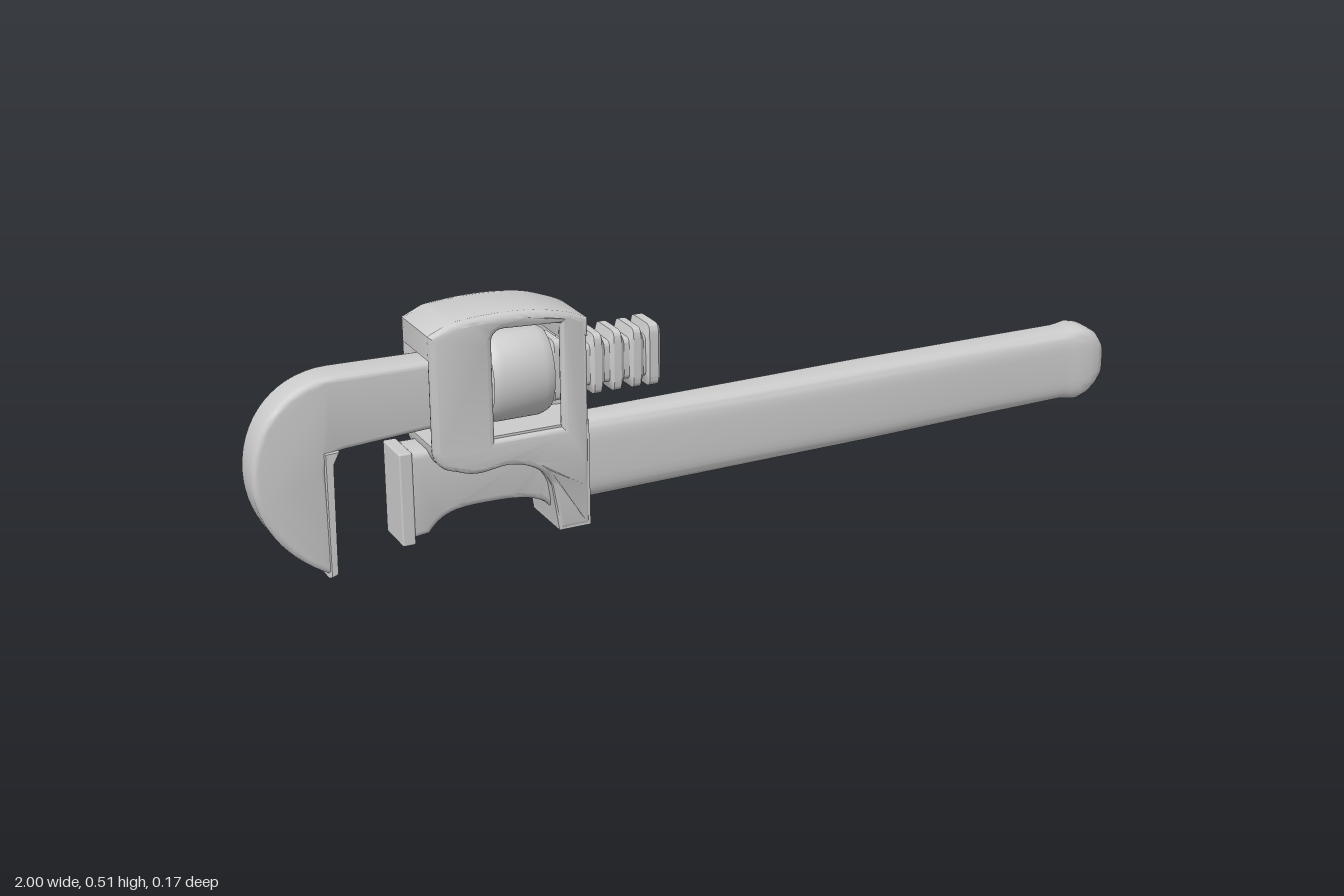
import * as THREE from 'three';
import { toCreasedNormals } from 'three/addons/utils/BufferGeometryUtils.js';
import { RoundedBoxGeometry } from 'three/addons/geometries/RoundedBoxGeometry.js';

const material = new THREE.MeshStandardMaterial({ color: 0xcccccc });

function add(group, name, geometry) {
  const mesh = new THREE.Mesh(geometry, material);
  mesh.name = name;
  group.add(mesh);
  return mesh;
}

// Front outline extruded from z0 to z1, with rounded rims
function slab(shape, z0, z1, size = 0, thick = size, steps = 3) {
  const g = new THREE.ExtrudeGeometry(shape, {
    depth: z1 - z0 - 2 * thick, curveSegments: 14, bevelEnabled: size > 0,
    bevelSize: size, bevelThickness: thick, bevelOffset: -size, bevelSegments: steps,
  });
  g.translate(0, 0, z0 + thick);
  return g;
}

const polygon = (pts) => new THREE.Shape(pts.map(([x, y]) => new THREE.Vector2(x, y)));

// Rounded-rectangle sections [x, yBottom, yTop, halfDepth] joined along x
function loft(sections, power, crease = 0.6, sides = 40) {
  const first = sections[0], last = sections[sections.length - 1];
  const point = ([x, b, t]) => [x, (b + t) / 2, (b + t) / 2, 0];
  const rows = [point(first), ...sections, point(last)];
  const bend = (v) => Math.sign(v) * Math.abs(v) ** (2 / power);
  const pos = [], index = [];
  rows.forEach(([x, b, t, h], i) => {
    for (let j = 0; j < sides; j++) {
      const a = (j / sides) * Math.PI * 2;
      pos.push(x, (b + t) / 2 + bend(Math.sin(a)) * (t - b) / 2, bend(Math.cos(a)) * h);
      if (i === rows.length - 1) continue;
      const k = (j + 1) % sides, p = i * sides, q = p + sides;
      if (i < rows.length - 2) index.push(p + j, q + j, p + k);
      if (i > 0) index.push(q + j, q + k, p + k);
      if (i === 0) index.push(q + j, q + k, p + k);
      if (i === rows.length - 2) index.push(p + j, q + j, p + k);
    }
  });
  const g = new THREE.BufferGeometry();
  g.setAttribute('position', new THREE.Float32BufferAttribute(pos, 3));
  g.setIndex(index);
  return toCreasedNormals(g, crease);
}

function buildHookJaw() {
  const jaw = new THREE.Group();
  jaw.name = 'hookJaw';
  // Curved hook and its flat shank
  const s = new THREE.Shape();
  s.moveTo(-0.5, 0.415);
  s.lineTo(-0.82, 0.42);
  s.bezierCurveTo(-0.92, 0.42, -1.0, 0.345, -1.0, 0.23);
  s.bezierCurveTo(-1.0, 0.14, -0.94, 0.05, -0.85, 0.005);
  s.lineTo(-0.842, 0.01);
  s.lineTo(-0.85, 0.23);
  s.quadraticCurveTo(-0.845, 0.265, -0.8, 0.265);
  s.lineTo(-0.65, 0.275);
  s.lineTo(-0.5, 0.28);
  add(jaw, 'hook', toCreasedNormals(slab(s, -0.04, 0.04, 0.012), 0.6));
  // Gripping plate inside the hook
  const plate = polygon([[-0.858, 0.0], [-0.838, 0.006], [-0.835, 0.24], [-0.822, 0.268], [-0.858, 0.268]]);
  add(jaw, 'hookGripPlate', toCreasedNormals(slab(plate, -0.045, 0.045, 0.004, 0.012, 1), 0.4));
  // Threaded tail: flat-topped teeth ending in a square block
  const rows = [[-0.52, 0.31, 0.4, 0.04]];
  for (let x = -0.508; x < -0.16; x += 0.044) {
    rows.push([x, 0.31, 0.4, 0.04], [x + 0.008, 0.29, 0.42, 0.045],
      [x + 0.024, 0.29, 0.42, 0.045], [x + 0.032, 0.31, 0.4, 0.04]);
  }
  const tail = rows.filter((r) => r[0] < -0.165);
  tail.push([-0.163, 0.31, 0.4, 0.04], [-0.156, 0.288, 0.423, 0.045],
    [-0.136, 0.288, 0.423, 0.045], [-0.129, 0.295, 0.416, 0.039]);
  add(jaw, 'threadedTail', loft(tail, 8, 0.5));
  return jaw;
}

function buildHousing() {
  const housing = new THREE.Group();
  housing.name = 'housing';
  const roof = (s) => {
    s.lineTo(-0.305, 0.468);
    s.quadraticCurveTo(-0.35, 0.49, -0.4, 0.5);
    s.quadraticCurveTo(-0.49, 0.514, -0.6, 0.5);
    s.lineTo(-0.645, 0.48);
  };
  const skirt = (s) => {
    s.lineTo(-0.645, 0.24);
    s.quadraticCurveTo(-0.638, 0.2, -0.6, 0.193);
    s.bezierCurveTo(-0.55, 0.17, -0.53, 0.185, -0.49, 0.187);
    s.quadraticCurveTo(-0.41, 0.18, -0.39, 0.12);
    s.lineTo(-0.375, 0.02);
    s.lineTo(-0.305, 0.02);
  };

  // Side plates with a window, narrowing to the handle end and to the foot
  const side = new THREE.Shape();
  side.moveTo(-0.305, 0.02);
  side.lineTo(-0.305, 0.11);
  side.lineTo(-0.305, 0.165);
  roof(side);
  skirt(side);
  const win = new THREE.Path();
  win.moveTo(-0.515, 0.245);
  win.lineTo(-0.515, 0.45);
  win.quadraticCurveTo(-0.515, 0.474, -0.49, 0.475);
  win.lineTo(-0.366, 0.468);
  win.lineTo(-0.366, 0.245);
  win.closePath();
  side.holes.push(win);
  for (const sign of [1, -1]) {
    const g = sign > 0 ? slab(side, 0.056, 0.083, 0.012) : slab(side, -0.083, -0.056, 0.012);
    const p = g.attributes.position;
    for (let i = 0; i < p.count; i++) {
      const end = THREE.MathUtils.clamp((p.getX(i) + 0.375) / 0.07, 0, 1);
      const foot = THREE.MathUtils.clamp((0.165 - p.getY(i)) / 0.055, 0, 1);
      p.setZ(i, p.getZ(i) - sign * 0.014 * Math.max(end, foot));
    }
    add(housing, sign > 0 ? 'frontSidePlate' : 'backSidePlate', toCreasedNormals(g, 0.7));
  }

  // Bridge over the nut, with lintels above both ends of the shank
  const bridge = new THREE.Shape();
  bridge.moveTo(-0.305, 0.43);
  roof(bridge);
  [[-0.645, 0.43], [-0.52, 0.43], [-0.515, 0.474], [-0.366, 0.468], [-0.36, 0.43]]
    .forEach(([x, y]) => bridge.lineTo(x, y));
  add(housing, 'bridge', toCreasedNormals(slab(bridge, -0.07, 0.07, 0.005), 0.6));

  // Saddle below the nut and collar around the handle
  const saddle = new THREE.Shape();
  saddle.moveTo(-0.305, 0.25);
  saddle.lineTo(-0.645, 0.25);
  skirt(saddle);
  add(housing, 'saddle', toCreasedNormals(slab(saddle, -0.067, 0.067), 0.6));
  return housing;
}

function buildFixedJaw() {
  const jaw = new THREE.Group();
  jaw.name = 'fixedJaw';
  // Neck with an arched underside
  const s = new THREE.Shape();
  s.moveTo(-0.34, 0.235);
  s.lineTo(-0.69, 0.235);
  s.lineTo(-0.69, 0.05);
  s.lineTo(-0.645, 0.055);
  s.bezierCurveTo(-0.615, 0.1, -0.57, 0.098, -0.5, 0.097);
  s.quadraticCurveTo(-0.4, 0.095, -0.38, 0.06);
  s.lineTo(-0.34, 0.06);
  add(jaw, 'neck', toCreasedNormals(slab(s, -0.045, 0.045, 0.015), 0.6));
  // Gripping plate
  const plate = new RoundedBoxGeometry(0.028, 0.198, 0.094, 2, 0.004);
  plate.translate(-0.692, 0.139, 0);
  add(jaw, 'gripPlate', plate);
  return jaw;
}

export function createModel() {
  const wrench = new THREE.Group();
  wrench.name = 'pipeWrench';
  wrench.add(buildHookJaw(), buildHousing(), buildFixedJaw());

  // Adjusting nut: an oval ring around the threaded tail
  const ring = [[0.083, -0.062], [0.083, 0.062], [0.086, 0.066], [0.09, 0.06], [0.095, 0.045],
    [0.095, -0.045], [0.09, -0.06], [0.086, -0.066], [0.083, -0.062]];
  const nut = new THREE.LatheGeometry(ring.reverse().map(([r, y]) => new THREE.Vector2(r, y)), 48);
  nut.rotateZ(Math.PI / 2);
  nut.scale(1, 1, 0.8);
  nut.translate(-0.443, 0.353, 0);
  add(wrench, 'adjustingNut', toCreasedNormals(nut, 0.6));

  // Handle: long rounded bar with a bulged end
  add(wrench, 'handle', loft([
    [-0.34, 0.062, 0.238, 0.046], [0.1, 0.068, 0.241, 0.05], [0.37, 0.072, 0.243, 0.054],
    [0.7, 0.077, 0.244, 0.049], [0.89, 0.079, 0.244, 0.046], [0.91, 0.075, 0.246, 0.048],
    [0.93, 0.073, 0.249, 0.05], [0.955, 0.083, 0.243, 0.051], [0.975, 0.1, 0.23, 0.049],
    [0.99, 0.12, 0.208, 0.043], [0.998, 0.145, 0.18, 0.03],
  ], 4, 0.9));
  return wrench;
}
